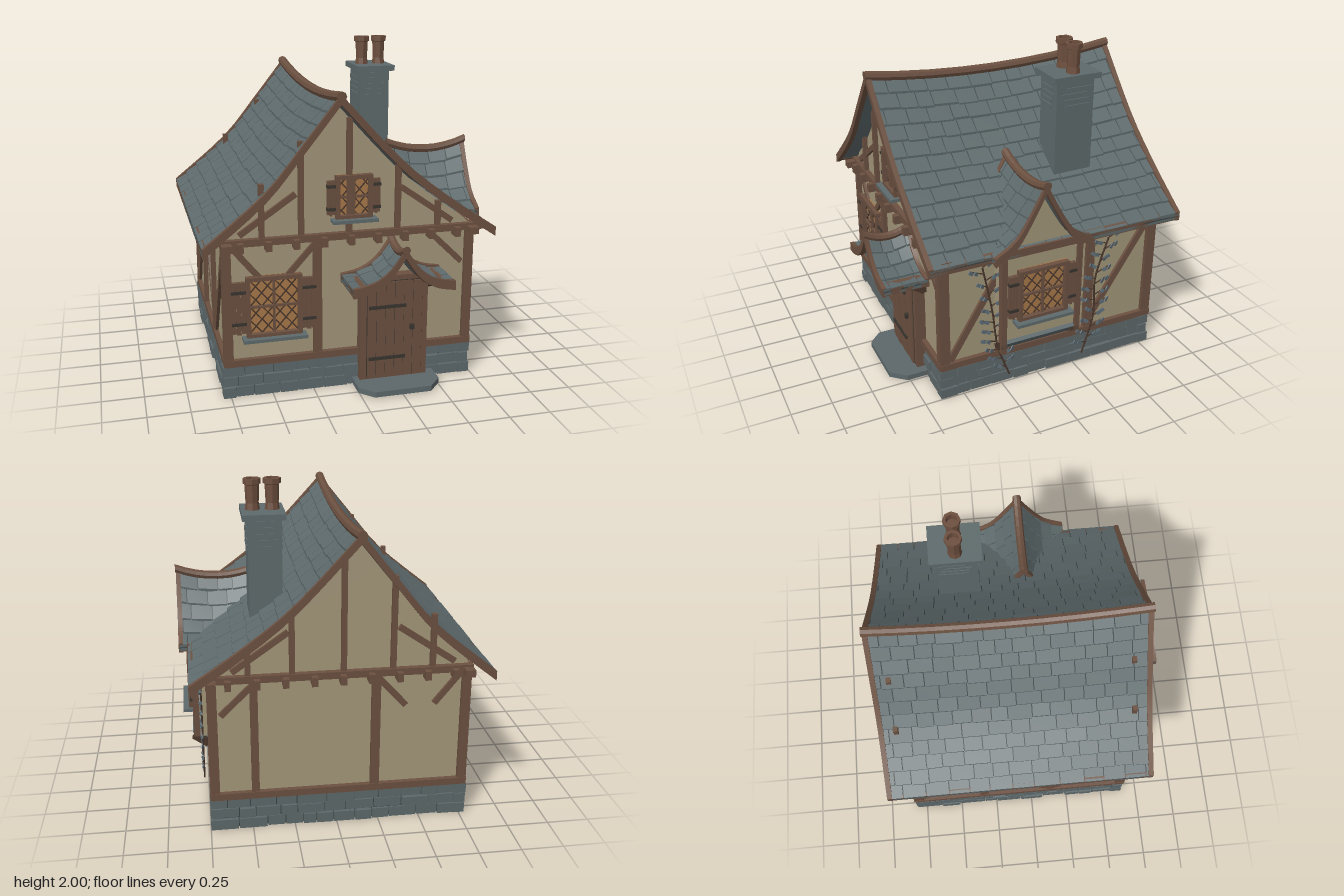
import * as THREE from 'three';
import { mergeGeometries } from 'three/addons/utils/BufferGeometryUtils.js';

const mat = (name, color) => Object.assign(new THREE.MeshStandardMaterial({ color }), { name });
const plaster = mat('plaster', 0xa3977a), timber = mat('timber', 0x6b5040), darkWood = mat('darkWood', 0x4a372c);
const slate = mat('slate', 0x5e6a6c), gap = mat('slateGap', 0x3a4345), stone = mat('stone', 0x5d686a);
const glass = mat('amberGlass', 0xa87848), iron = mat('iron', 0x39342f), leaf = mat('leaf', 0x5c6b74);
const clay = mat('clay', 0x6d4f3e);

let seed = 7;
const rnd = () => (seed = (seed * 16807) % 2147483647) / 2147483647;
const lerp = THREE.MathUtils.lerp;

function add(parent, name, geo, material) {
  const m = new THREE.Mesh(geo, material);
  m.name = name;
  parent.add(m);
  return m;
}
function boxGeo(x0, x1, y0, y1, z0, z1) {
  return new THREE.BoxGeometry(x1 - x0, y1 - y0, z1 - z0).translate((x0 + x1) / 2, (y0 + y1) / 2, (z0 + z1) / 2);
}
const box = (p, name, m, ...d) => add(p, name, boxGeo(...d), m);
// straight beam lying against a wall, from point a to point b
function barGeo(ax, ay, bx, by, w, z0, z1) {
  const g = new THREE.BoxGeometry(Math.hypot(bx - ax, by - ay), w, z1 - z0);
  return g.rotateZ(Math.atan2(by - ay, bx - ax)).translate((ax + bx) / 2, (ay + by) / 2, (z0 + z1) / 2);
}
const bars = (p, name, m, list, w, z0, z1) =>
  add(p, name, mergeGeometries(list.map(l => barGeo(...l, w, z0, z1))), m);
function flat(geo) {
  const g = geo.toNonIndexed();
  g.computeVertexNormals();
  return g;
}
function group(parent, name, angle = 0) {
  const g = new THREE.Group();
  g.name = name;
  g.rotation.y = angle;
  parent.add(g);
  return g;
}

// --- Curved roofs: a slope is a profile swept along z with a sagging ridge
const sagAt = (z, z0, z1, sag) => sag * (1 - ((2 * z - z0 - z1) / (z1 - z0)) ** 2);
function slope(pts, z0, z1, sag) {
  const curve = new THREE.SplineCurve(pts.map(p => new THREE.Vector2(...p)));
  const f = (u, z) => {
    const p = curve.getPointAt(Math.min(1, Math.max(0, u)));
    return [p.x, p.y - sagAt(z, z0, z1, sag) * (1 - u)];
  };
  f.side = Math.sign(pts[pts.length - 1][0] - pts[0][0]);
  f.curve = curve;
  return f;
}
// piece of a slope between two heights; hUp lets tiles tilt
function slab(f, u0, u1, z0, z1, h0, h1, nu = 1, nv = 1, hUp = h1) {
  const g = new THREE.BoxGeometry(1, 1, 1, nu, 1, nv), p = g.attributes.position;
  for (let i = 0; i < p.count; i++) {
    const a = p.getX(i) + 0.5, z = lerp(z0, z1, f.side * p.getZ(i) + 0.5);
    const [x, y] = f(lerp(u0, u1, a), z);
    p.setXYZ(i, x, y + (p.getY(i) < 0 ? h0 : lerp(hUp, h1, a)), z);
  }
  g.computeVertexNormals();
  return g;
}
function roof(parent, name, left, right, o) {
  const { z0, z1, sag, courses, tile, trim, ridge } = o, r = group(parent, name);
  const slopes = [left, right].map(p => slope(p, z0, z1, sag));
  const tiles = [], trims = [], sheets = [], lining = [];
  for (const f of slopes) {
    lining.push(slab(f, 0, 1, z0, z1, -0.025, -0.008, 10, 10));
    sheets.push(slab(f, 0, 1, z0 + 0.003, z1 - 0.003, -0.008, 0, 10, 10));
    for (let c = 0; c < courses; c++) {
      let z = z0 - rnd() * tile * 0.6;
      while (z < z1 - 0.01) {
        const w = tile * (0.75 + rnd() * 0.5), u1 = (c + 1.02 + rnd() * 0.1) / courses;
        const a = Math.max(z, z0), b = Math.min(z + w - 0.006, z1);
        if (b - a > 0.01)
          tiles.push(slab(f, c / courses, Math.min(1, u1), a, b, -0.004, 0.014 + rnd() * 0.006, 1, 1, 0.003));
        z += w;
      }
    }
    for (const [a, b] of [[z0 - 0.006, z0 + trim], [z1 - trim, z1 + 0.006]])
      trims.push(slab(f, 0, 1, a, b, -0.035, 0.022, 10, 1));
    trims.push(slab(f, 0.975, 1, z0, z1, -0.03, 0.012, 1, 6));
  }
  add(r, 'roofLining', mergeGeometries(lining), slate);
  add(r, 'roofSheet', mergeGeometries(sheets), gap);
  add(r, 'roofTiles', mergeGeometries(tiles), slate);
  add(r, 'bargeBoards', mergeGeometries(trims), timber);
  const beam = new THREE.CylinderGeometry(ridge, ridge, z1 - z0 + 0.02, 8, 8).rotateX(Math.PI / 2);
  const p = beam.translate(left[0][0], left[0][1] + 0.01, (z0 + z1) / 2).attributes.position;
  for (let i = 0; i < p.count; i++) p.setY(i, p.getY(i) - sagAt(p.getZ(i), z0, z1, sag));
  add(r, 'ridgeBeam', flat(beam), timber);
  return r;
}
// plaster gable fitted under the two roof profiles
function gable(parent, name, left, right, drop, x0, x1, y0, z0, z1) {
  const s = new THREE.Shape([new THREE.Vector2(x0, y0), new THREE.Vector2(x1, y0)]);
  const edge = p => slope(p, 0, 1, 0).curve.getSpacedPoints(12);
  const pts = [...edge(right).reverse(), ...edge(left).slice(1)];
  for (const p of pts) if (p.x > x0 && p.x < x1 && p.y - drop > y0) s.lineTo(p.x, p.y - drop);
  add(parent, name, new THREE.ExtrudeGeometry(s, { depth: z1 - z0, bevelEnabled: false }).translate(0, 0, z0), plaster);
}

// --- Leaded window with frame, sill and plank shutters
function windowUnit(parent, cx, y0, y1, w, z, shutter) {
  const g = group(parent, 'window'), h = y1 - y0, cy = (y0 + y1) / 2, x0 = cx - w / 2, x1 = cx + w / 2, t = 0.024;
  box(g, 'windowGlass', glass, x0, x1, y0, y1, z, z + 0.008);
  bars(g, 'windowFrame', timber, [[x0, y0 + t / 2, x1, y0 + t / 2], [x0, y1 - t / 2, x1, y1 - t / 2],
    [x0 + t / 2, y0, x0 + t / 2, y1], [x1 - t / 2, y0, x1 - t / 2, y1]], t, z, z + 0.04);
  bars(g, 'windowMullions', timber, [[cx, y0, cx, y1], [x0, cy, x1, cy]], 0.014, z, z + 0.025);
  const lines = [], W = w / 2 - t, H = h / 2 - t, k = 1.15, step = 0.082;
  for (const s of [k, -k]) for (let c = -step * 8; c <= step * 8.1; c += step) {
    const e = [(-H - c) / s, (H - c) / s].sort((a, b) => a - b);
    const a = Math.max(-W, e[0]), b = Math.min(W, e[1]);
    if (b - a > 0.01) lines.push([cx + a, cy + s * a + c, cx + b, cy + s * b + c]);
  }
  bars(g, 'windowLattice', darkWood, lines, 0.007, z, z + 0.014);
  box(g, 'windowSill', slate, x0 - 0.025, x1 + 0.025, y0 - 0.016, y0 + 0.004, z, z + 0.075);
  for (const s of [-1, 1]) {
    const planks = [], a = s < 0 ? x0 - shutter : x1;
    for (let i = 0; i < 3; i++)
      planks.push(boxGeo(a + i * shutter / 3 + 0.002, a + (i + 1) * shutter / 3 - 0.002, y0 + 0.03 - (i % 2) * 0.008, y1 - 0.03, z, z + 0.025));
    add(g, 'shutter', mergeGeometries(planks), timber);
    bars(g, 'shutterStraps', iron, [0.24, 0.76].map(f => [a, lerp(y0, y1, f), a + shutter, lerp(y0, y1, f)]), 0.018, z, z + 0.031);
  }
}

// --- Rough stone plinth for one side
function plinth(parent, u0, u1, z) {
  const list = [];
  for (let c = 0; c < 3; c++) for (let u = u0 - 0.01; u < u1 - 0.02;) {
    const w = 0.08 + rnd() * 0.1, e = u1 - u - w < 0.06 ? u1 + 0.005 : u + w, j = rnd() * 0.016;
    list.push(boxGeo(u, e - 0.006, c * 0.067 + (c ? rnd() * 0.006 : 0), (c + 1) * 0.067 - 0.004, z - 0.06, z + j));
    u = e;
  }
  add(parent, 'plinthStones', mergeGeometries(list), stone);
}

// --- Climbing vine on a wall
function vine(parent, pts, z) {
  const g = group(parent, 'vine');
  const curve = new THREE.CatmullRomCurve3(pts.map(p => new THREE.Vector3(p[0], p[1], z)));
  add(g, 'vineStem', new THREE.TubeGeometry(curve, 20, 0.006, 5), darkWood);
  const leaves = [], twigs = [];
  for (let i = 2; i < 22; i++) {
    const p = curve.getPoint(i / 21), s = i % 2 ? 1 : -1, r = 0.04 + rnd() * 0.045;
    twigs.push([p.x, p.y, p.x + s * r, p.y + 0.03]);
    for (const k of [0.65, 1.05])
      leaves.push(new THREE.BoxGeometry(0.03, 0.021, 0.007).rotateZ(s * (0.3 + rnd() * 0.6))
        .rotateY(rnd() - 0.5).translate(p.x + s * r * k, p.y + 0.03 * k - 0.005, z + 0.006));
  }
  bars(g, 'vineTwigs', darkWood, twigs, 0.005, z - 0.003, z + 0.003);
  add(g, 'vineLeaves', mergeGeometries(leaves), leaf);
}

export function createModel() {
  const house = new THREE.Group();
  house.name = 'cottage';
  const front = group(house, 'frontWall'), back = group(house, 'backWall', Math.PI);
  const right = group(house, 'sideWallWithBay', Math.PI / 2), left = group(house, 'plainSideWall', -Math.PI / 2);

  // body and plinth
  box(house, 'plinthCore', gap, -0.765, 0.72, 0.002, 0.2, -0.79, 0.615);
  box(house, 'plasterWalls', plaster, -0.76, 0.72, 0.19, 0.97, -0.79, 0.62);
  plinth(front, -0.785, 0.74, 0.628);
  plinth(back, -0.74, 0.785, 0.8);
  plinth(right, -0.635, 0.805, 0.733);
  plinth(left, -0.805, 0.635, 0.778);

  // main roof and gables
  const lp = [[-0.11, 1.775], [-0.32, 1.51], [-0.545, 1.24], [-0.9, 0.945]];
  const rp = [[-0.11, 1.775], [0.25, 1.39], [0.54, 1.155], [0.84, 0.95]];
  roof(house, 'mainRoof', lp, rp, { z0: -0.905, z1: 0.735, sag: 0.06, courses: 12, tile: 0.13, trim: 0.025, ridge: 0.03 });
  gable(house, 'frontGable', lp, rp, 0.045, -0.78, 0.74, 0.95, 0.58, 0.62);
  gable(house, 'backGable', lp, rp, 0.045, -0.78, 0.74, 0.95, -0.79, -0.75);

  // timber framing shared by front and back (m mirrors x for the back wall)
  for (const [w, z, m] of [[front, 0.62, 1], [back, 0.79, -1]]) {
    const mx = list => list.map(([a, b, c, d]) => [a * m, b, c * m, d]);
    bars(w, 'wallPosts', timber, mx([[-0.758, 0.2, -0.758, 0.95], [-0.225, 0.2, -0.225, 0.95], [0.715, 0.2, 0.715, 0.95]]), 0.052, z - 0.03, z + 0.027);
    bars(w, 'sillBeam', timber, mx([[-0.785, 0.22, 0.743, 0.22]]), 0.042, z - 0.03, z + 0.03);
    bars(w, 'tieBeam', timber, mx([[-0.79, 0.958, 0.82, 0.958]]), 0.042, z - 0.03, z + 0.035);
    bars(w, 'braces', timber, mx([[-0.74, 0.95, -0.57, 0.74], [-0.21, 0.95, -0.4, 0.74], [0.45, 0.95, 0.67, 0.735]]), 0.035, z - 0.01, z + 0.018);
    bars(w, 'gablePosts', timber, mx([[-0.55, 0.96, -0.55, 1.295], [-0.32, 0.96, -0.32, 1.53], [-0.035, 0.96, -0.035, 1.65],
      [0.26, 0.96, 0.26, 1.36], [0.51, 0.96, 0.51, 1.13]]), 0.032, z, z + 0.028);
    bars(w, 'gableBraces', timber, mx([[-0.68, 1.0, -0.35, 1.225], [0.28, 1.225, 0.6, 1.0]]), 0.035, z, z + 0.02);
    const joists = [];
    for (let i = 0; i < 9; i++) joists.push(boxGeo(m * (-0.68 + i * 0.163) - 0.018, m * (-0.68 + i * 0.163) + 0.018, 0.91, 0.965, z, z + 0.07));
    add(w, 'joistEnds', mergeGeometries(joists), timber);
  }
  bars(back, 'backPost', timber, [[-0.48, 0.2, -0.48, 0.95]], 0.045, 0.78, 0.815);
  windowUnit(front, -0.485, 0.375, 0.75, 0.33, 0.62, 0.085);
  windowUnit(front, -0.01, 1.06, 1.32, 0.22, 0.625, 0.05);

  // side wall framing (u runs along the wall)
  for (const [w, z, ends, posts, diag] of [
    [right, 0.72, [-0.61, 0.78], [0.35], [[-0.58, 0.25, -0.28, 0.75], [0.37, 0.3, 0.77, 0.93], [0.35, 0.95, 0.22, 0.76]]],
    [left, 0.76, [-0.78, 0.61], [-0.33, 0.13], [[-0.76, 0.25, -0.36, 0.93], [-0.3, 0.93, 0.1, 0.25], [0.16, 0.25, 0.58, 0.93]]]]) {
    bars(w, 'sidePosts', timber, [...ends, ...posts].map(u => [u, 0.2, u, 0.95]), 0.055, z - 0.03, z + 0.025);
    bars(w, 'sideBeams', timber, [[ends[0] - 0.03, 0.22, ends[1] + 0.03, 0.22], [ends[0] - 0.1, 0.945, ends[1] + 0.1, 0.945]], 0.042, z - 0.03, z + 0.028);
    bars(w, 'sideBraces', timber, diag, 0.042, z - 0.01, z + 0.018);
  }

  // projecting bay with its dormer roof
  const bay = group(right, 'bay');
  box(bay, 'bayWall', plaster, -0.285, 0.235, 0.33, 0.97, 0.6, 0.815);
  bars(bay, 'bayPosts', timber, [[-0.272, 0.27, -0.272, 0.96], [0.222, 0.33, 0.222, 0.96]], 0.036, 0.79, 0.83);
  bars(bay, 'bayBeam', timber, [[-0.36, 0.957, 0.27, 0.957]], 0.03, 0.79, 0.845);
  windowUnit(bay, -0.025, 0.485, 0.825, 0.325, 0.815, 0.06);
  const skirt = box(bay, 'baySkirt', slate, -0.255, 0.2, -0.055, 0.055, -0.012, 0.012);
  skirt.position.set(0, 0.308, 0.79);
  skirt.rotation.x = 0.75;
  for (const u of [-0.272, 0.215]) {
    const b = box(bay, 'bayBracket', darkWood, u - 0.018, u + 0.018, -0.055, 0.055, -0.022, 0.022);
    b.position.set(0, 0.3, 0.785);
    b.rotation.x = 0.95;
  }
  const dc = -0.05;
  const bell = (pts, c, s) => pts.map(([x, y]) => [c + s * x, y]);
  const dp = [[0, 1.35], [0.095, 1.17], [0.185, 1.035], [0.31, 0.955]];
  roof(right, 'dormerRoof', bell(dp, dc, -1), bell(dp, dc, 1), { z0: 0.38, z1: 0.89, sag: 0.05, courses: 5, tile: 0.11, trim: 0.022, ridge: 0.027 });
  gable(bay, 'dormerGable', bell(dp, dc, -1), bell(dp, dc, 1), 0.03, -0.34, 0.25, 0.95, 0.77, 0.815);
  vine(right, [[-0.21, 0.07], [-0.29, 0.3], [-0.325, 0.55], [-0.39, 0.87]], 0.775);
  vine(right, [[0.3, 0.07], [0.37, 0.33], [0.37, 0.6], [0.45, 0.87]], 0.775);

  // door and porch
  const porch = group(front, 'porch');
  const step = new THREE.Shape([[-0.01, 0.6], [0.5, 0.6], [0.5, 0.77], [0.42, 0.86], [0.07, 0.86], [-0.01, 0.78]].map(p => new THREE.Vector2(p[0], -p[1])).reverse());
  add(porch, 'doorStep', new THREE.ExtrudeGeometry(step, { depth: 0.034, bevelEnabled: false }).rotateX(-Math.PI / 2).translate(0, 0.01, 0), stone);
  box(porch, 'doorFrame', timber, 0.025, 0.445, 0.04, 0.7, 0.58, 0.685);
  const planks = [];
  for (let i = 0; i < 6; i++) planks.push(boxGeo(0.068 + i * 0.057, 0.121 + i * 0.057, 0.05, 0.665, 0.68, 0.693 + (i % 2) * 0.003));
  add(porch, 'doorPlanks', mergeGeometries(planks), timber);
  box(porch, 'doorGaps', iron, 0.064, 0.41, 0.048, 0.669, 0.68, 0.687);
  bars(porch, 'doorHinges', iron, [[0.075, 0.18, 0.305, 0.18], [0.075, 0.51, 0.305, 0.51]], 0.02, 0.685, 0.703);
  box(porch, 'doorHandle', iron, 0.33, 0.355, 0.355, 0.385, 0.69, 0.715);
  const pc = 0.225, pp = [[0, 0.915], [0.085, 0.795], [0.185, 0.725], [0.305, 0.7]];
  roof(porch, 'porchRoof', bell(pp, pc, -1), bell(pp, pc, 1), { z0: 0.625, z1: 0.905, sag: 0.04, courses: 4, tile: 0.085, trim: 0.02, ridge: 0.025 });
  for (const x of [-0.01, 0.47]) {
    box(porch, 'porchRail', timber, x - 0.015, x + 0.015, 0.685, 0.715, 0.62, 0.89);
    box(porch, 'porchWallBracket', darkWood, x - 0.013, x + 0.013, 0.6, 0.69, 0.62, 0.65);
    const strut = box(porch, 'porchStrut', darkWood, -0.012, 0.012, -0.08, 0.08, -0.012, 0.012);
    strut.position.set(x, 0.648, 0.705);
    strut.rotation.x = 0.98;
  }

  // chimney with proud bricks, cap and two pots
  const chimney = group(house, 'chimney');
  box(chimney, 'chimneyStack', slate, 0.275, 0.47, 1.1, 1.8, -0.48, -0.23);
  const bricks = [];
  for (let i = 0; i < 5; i++) {
    const a = 0.27 + rnd() * 0.06, b = -0.47 + rnd() * 0.05, y = 1.75 - i * 0.036;
    bricks.push(boxGeo(a, a + 0.12, y, y + 0.026, -0.487, -0.223), boxGeo(0.268, 0.477, y, y + 0.026, b, b + 0.17));
  }
  add(chimney, 'chimneyBricks', mergeGeometries(bricks), slate);
  box(chimney, 'chimneyCap', slate, 0.25, 0.5, 1.785, 1.82, -0.51, -0.2);
  const pot = [[0, 1.81], [0.045, 1.81], [0.038, 1.86], [0.042, 1.965], [0.052, 1.97], [0.052, 2], [0.033, 2], [0.033, 1.95], [0, 1.95]];
  for (const x of [0.317, 0.432])
    add(chimney, 'chimneyPot', flat(new THREE.LatheGeometry(pot.map(p => new THREE.Vector2(...p)), 8)), clay).position.set(x, 0, -0.355);
  return house;
}
